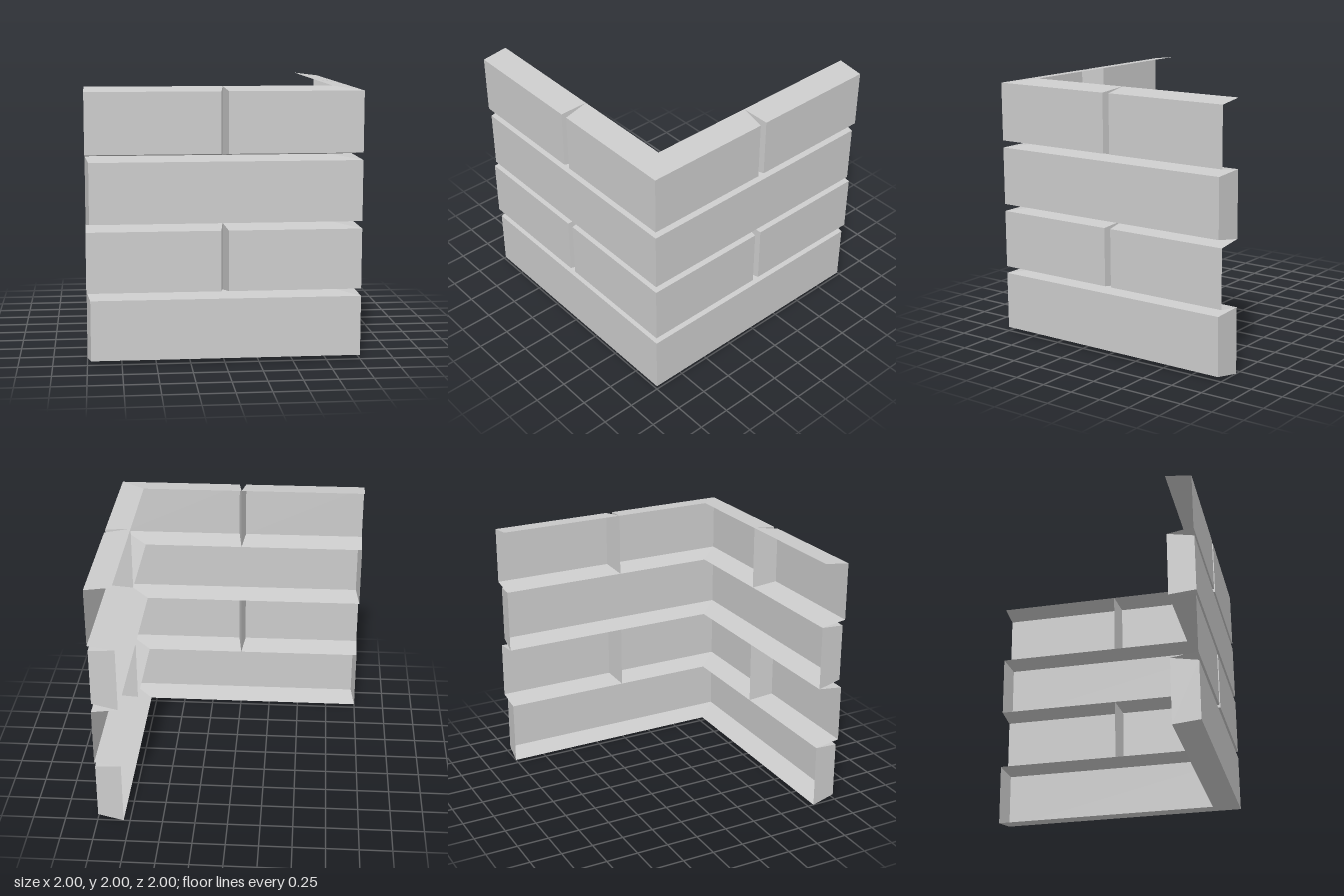
import * as THREE from 'three';

const INNER = 0.8, OUTER = 1;      // wall depth, measured from the centre
const COURSE = 0.5;                // height of one course
const TOP = 0.025, BOTTOM = 0.03, END = 0.027; // mortar bevels

const material = new THREE.MeshStandardMaterial({
  color: 0xcccccc, flatShading: true, side: THREE.DoubleSide,
});

// Open-backed brick profile as [depth, height] pairs
const profile = (y) => [
  [INNER, y + COURSE], [OUTER, y + COURSE - TOP], [OUTER, y + BOTTOM], [INNER, y],
];

// Stations place the profile along the front wing, at the corner, or along the side wing
const slide = (s, bevel, d) => (d === OUTER ? s + bevel : s);
const front = (s, bevel) => ([d, y]) => [slide(s, bevel, d), y, d];
const corner = ([d, y]) => [d, y, d];
const side = (s, bevel) => ([d, y]) => [d, y, slide(s, bevel, d)];

// Skins the profile through the stations, with optional end caps
function brick(name, y, stations, capStart, capEnd) {
  const rings = stations.map((place) => profile(y).map(place));
  const pos = [];
  const quad = (a, b, c, d) => pos.push(...a, ...b, ...c, ...a, ...c, ...d);
  for (let i = 0; i < rings.length - 1; i++) {
    const p = rings[i], q = rings[i + 1];
    for (let j = 0; j < 3; j++) quad(p[j], p[j + 1], q[j + 1], q[j]);
  }
  if (capStart) quad(...[...rings[0]].reverse());
  if (capEnd) quad(...rings[rings.length - 1]);
  const geometry = new THREE.BufferGeometry();
  geometry.setAttribute('position', new THREE.Float32BufferAttribute(pos, 3));
  geometry.computeVertexNormals();
  const mesh = new THREE.Mesh(geometry, material);
  mesh.name = name;
  return mesh;
}

export function createModel() {
  const wall = new THREE.Group();
  wall.name = 'brickCorner';
  for (let row = 0; row < 4; row++) {
    const y = row * COURSE;
    const course = new THREE.Group();
    course.name = `course${row + 1}`;
    if (row % 2 === 0) {
      // Long corner brick with capped ends
      course.add(brick('longCornerBrick', y, [front(-1, END), corner, side(-1, END)], true, true));
    } else {
      // Short corner brick between two half bricks with open outer ends
      course.add(
        brick('frontHalfBrick', y, [front(-1, 0), front(0, -END)], false, true),
        brick('shortCornerBrick', y, [front(0, END), corner, side(0, END)], true, true),
        brick('sideHalfBrick', y, [side(0, -END), side(-1, 0)], true, false),
      );
    }
    wall.add(course);
  }
  return wall;
}
